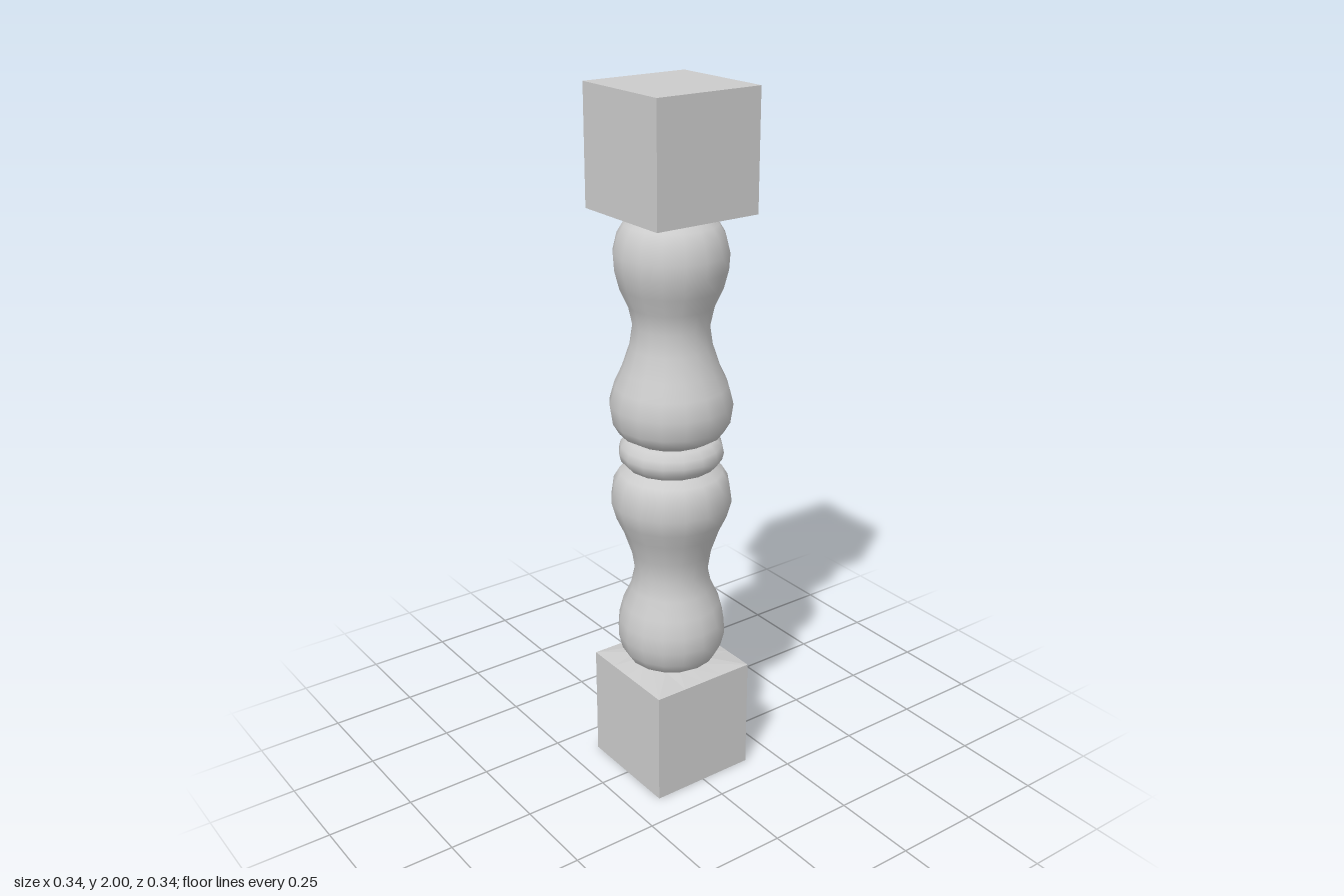
import * as THREE from 'three';

const SIDES = 16, HALF = 0.16, MID = 1.005;

export function createModel() {
  const model = new THREE.Group();
  model.name = 'baluster';
  const smooth = new THREE.MeshStandardMaterial({ color: 0xcccccc });
  const flat = new THREE.MeshStandardMaterial({ color: 0xcccccc, flatShading: true });

  const add = (parent, name, geometry, material) => {
    const mesh = new THREE.Mesh(geometry, material);
    mesh.name = name;
    parent.add(mesh);
    return mesh;
  };
  const lathe = (points) =>
    new THREE.LatheGeometry(points.map(([r, y]) => new THREE.Vector2(r, y)), SIDES);

  // Square blocks at both ends
  const block = (name, y0, y1) => {
    const geometry = new THREE.BoxGeometry(2 * HALF, y1 - y0, 2 * HALF);
    add(model, name, geometry, flat).position.y = (y0 + y1) / 2;
  };
  block('bottomBlock', 0, 0.335);
  block('topBlock', 1.675, 2);

  // Shallow transition from the square block to the round shaft
  const bevel = lathe([[HALF, 0.335], [0.1, 0.349]]);
  const p = bevel.attributes.position;
  for (let i = 0; i < p.count; i++) {
    if (p.getY(i) > 0.34) continue;
    const k = HALF / Math.max(Math.abs(p.getX(i)), Math.abs(p.getZ(i)));
    p.setX(i, p.getX(i) * k);
    p.setZ(i, p.getZ(i) * k);
  }

  // Turned double bulge, small near the block and large near the middle
  const shaft = lathe([
    [0.1, 0.347], [0.127, 0.365], [0.145, 0.395], [0.156, 0.44], [0.153, 0.485],
    [0.14, 0.535], [0.117, 0.585], [0.105, 0.64], [0.114, 0.7], [0.136, 0.765],
    [0.157, 0.81], [0.171, 0.86], [0.163, 0.915], [0.145, 0.945], [0.11, 0.965],
  ]);

  // Two matching halves, the upper one turned over about the middle
  for (const side of ['lower', 'upper']) {
    const half = new THREE.Group();
    half.name = side + 'Turning';
    add(half, side + 'Bevel', bevel, flat);
    add(half, side + 'Shaft', shaft, smooth);
    if (side === 'upper') {
      half.rotation.x = Math.PI;
      half.position.y = 2 * MID;
    }
    model.add(half);
  }

  // Rounded ring between the halves
  add(model, 'middleRing', lathe([
    [0.1, 0.962], [0.125, 0.966], [0.142, 0.984], [0.147, MID],
    [0.142, 1.026], [0.125, 1.044], [0.1, 1.048],
  ]), smooth);

  return model;
}
